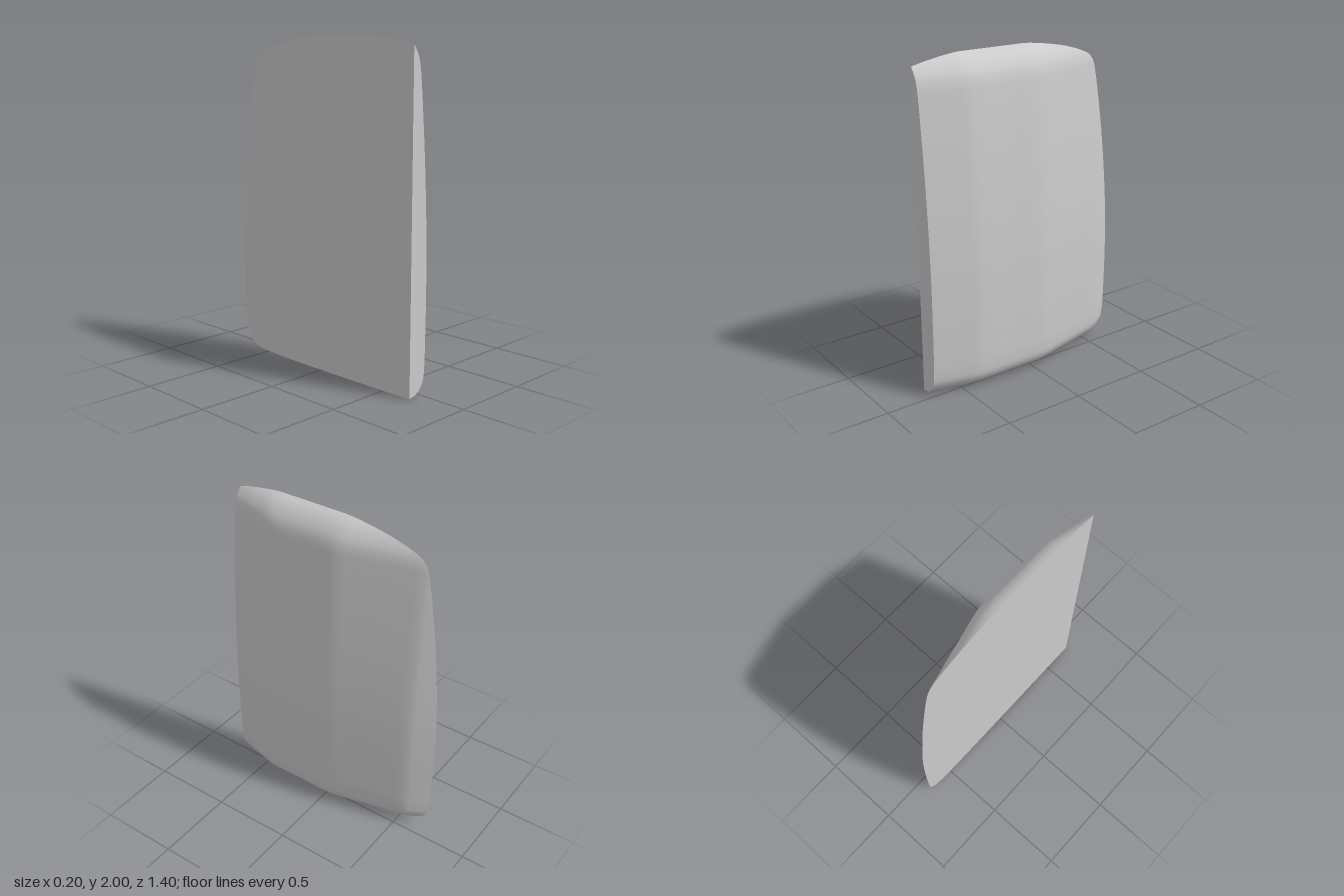
import * as THREE from 'three';

// Smooth curve through [x, y] pairs
const curve = (pts) => new THREE.CatmullRomCurve3(
  pts.map(([x, y]) => new THREE.Vector3(x, y, 0)), false, 'centripetal');

// Vertical bulge: [x, y] from bottom edge, over the fullest point, to top edge
const lowerPts = [[-0.1, 0], [-0.03, 0.004], [0.015, 0.014], [0.055, 0.04], [0.083, 0.085], [0.093, 0.15], [0.098, 0.32]];
const upperPts = [[0.098, 0.8], [0.085, 1.12], [0.063, 1.45], [0.032, 1.78], [0.022, 1.85], [0.005, 1.9], [-0.03, 1.95], [-0.065, 1.98], [-0.1, 2]];
const upright = curve([...lowerPts, [0.1, 0.55], ...upperPts]);
const peak = lowerPts.length / (lowerPts.length + upperPts.length);

// Horizontal bulge: [z, x] from rear tip to the cut front end
const across = curve([[-0.7, -0.1], [-0.6, -0.042], [-0.57, -0.026], [-0.53, -0.012], [-0.47, 0.003],
  [-0.15, 0.079], [-0.1, 0.091], [-0.04, 0.1], [0.17, 0.1], [0.39, 0.1], [0.44, 0.094], [0.49, 0.082], [0.7, 0.03]]);

const COLS = 90, HALF = 40, ROWS = HALF * 2;
const BACK = -0.1;

// Parameter between peak and end where the upright curve falls to depth x
function clip(end, x) {
  let inside = peak, outside = end;
  for (let k = 0; k < 40; k++) {
    const mid = (inside + outside) / 2;
    if (upright.getPoint(mid).x >= x) inside = mid; else outside = mid;
  }
  return inside;
}

// Upright cross-section at one z, trimmed by the flat back plane
function section(z, h) {
  const lo = clip(0, -h), hi = clip(1, -h), row = [];
  for (let j = 0; j <= ROWS; j++) {
    const t = j <= HALF
      ? THREE.MathUtils.lerp(lo, peak, j / HALF)
      : THREE.MathUtils.lerp(peak, hi, (j - HALF) / HALF);
    const p = upright.getPoint(t);
    const edge = j === 0 || j === ROWS;
    row.push([edge ? BACK : Math.max(BACK, p.x + h - 0.1), p.y, z]);
  }
  return row;
}

function makeMesh(name, points, index, material) {
  const g = new THREE.BufferGeometry();
  g.setAttribute('position', new THREE.Float32BufferAttribute(points.flat(), 3));
  g.setIndex(index);
  g.computeVertexNormals();
  const mesh = new THREE.Mesh(g, material);
  mesh.name = name;
  return mesh;
}

export function createModel() {
  const group = new THREE.Group();
  group.name = 'curvedPanel';
  const material = new THREE.MeshStandardMaterial({ color: 0xcccccc });

  // Columns crowd towards the rounded rear edge
  const sections = [];
  for (let i = 0; i <= COLS; i++) {
    const p = across.getPointAt(Math.pow(i / COLS, 1.6));
    sections.push(section(p.x, p.y));
  }

  // Bulged outer skin
  const skin = [];
  for (let i = 0; i < COLS; i++) {
    for (let j = 0; j < ROWS; j++) {
      const a = i * (ROWS + 1) + j, b = a + ROWS + 1;
      skin.push(a, a + 1, b + 1, a, b + 1, b);
    }
  }
  group.add(makeMesh('outerSkin', sections.flat(), skin, material));

  // Flat back plate joining the lower and upper rims
  const rim = sections.flatMap((s) => [s[0], s[ROWS]]);
  const plate = [];
  for (let i = 0; i < COLS; i++) {
    const a = i * 2;
    plate.push(a, a + 2, a + 3, a, a + 3, a + 1);
  }
  group.add(makeMesh('backPlate', rim, plate, material));

  // Flat front end cap
  const end = sections[COLS];
  const fan = [];
  for (let j = 1; j <= ROWS; j++) fan.push(0, j, j + 1);
  group.add(makeMesh('frontEnd', [[BACK, 0.6, end[0][2]], ...end], fan, material));

  return group;
}
